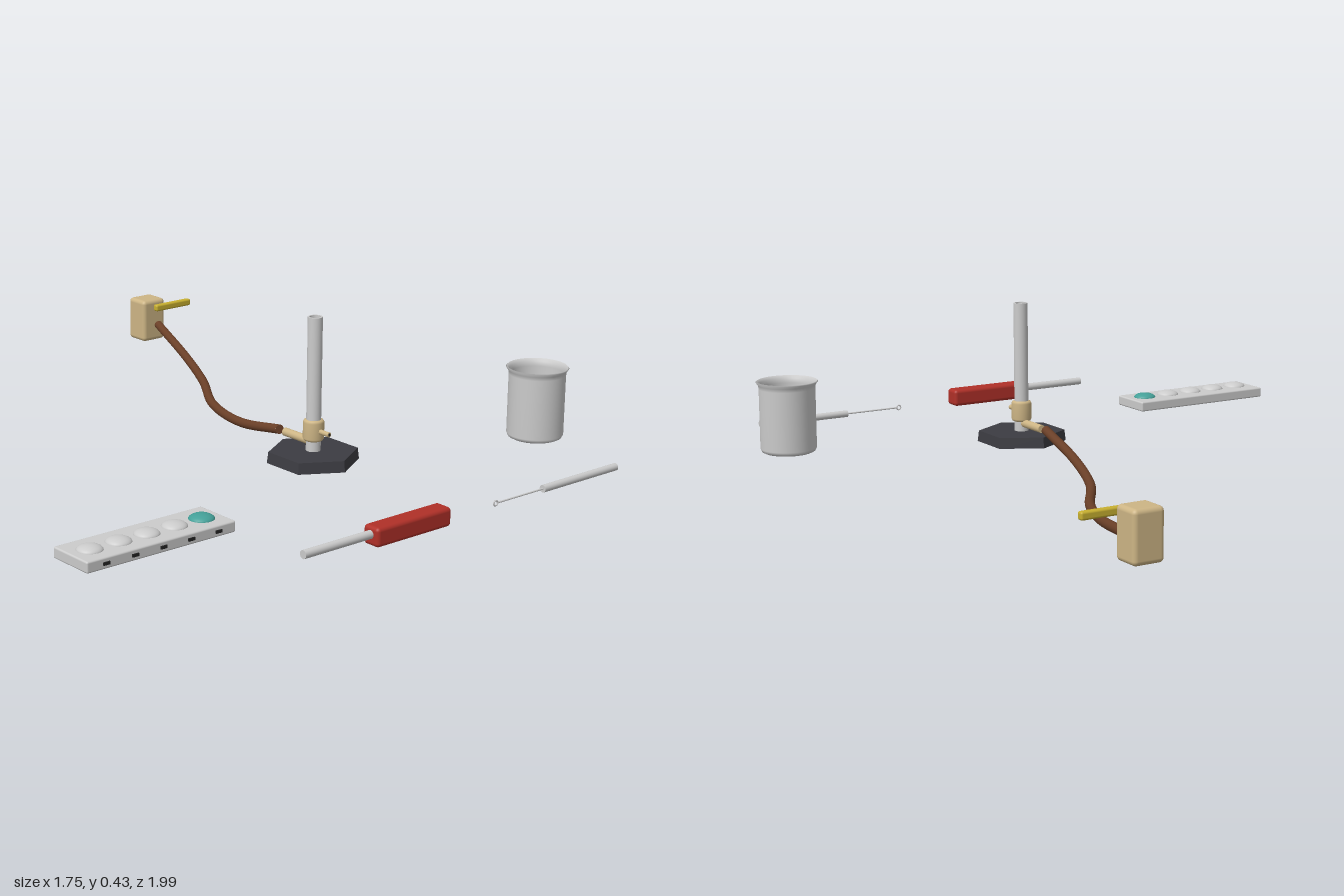
import * as THREE from 'three';
import { RoundedBoxGeometry } from 'three/addons/geometries/RoundedBoxGeometry.js';

const V2 = (x, y) => new THREE.Vector2(x, y);
const mat = (color, extra = {}) => new THREE.MeshStandardMaterial({ color, ...extra });

export function createModel() {
  const model = new THREE.Group();
  const grey = mat(0xcccccc), brass = mat(0xcdb585), dark = mat(0x3c3c42, { flatShading: true });
  const red = mat(0xb03028), yellow = mat(0xc8b030), rubber = mat(0x6b4028);
  const black = mat(0x222222), teal = mat(0x44a098), white = mat(0xe8e8e8);

  const add = (parent, name, geometry, material, x, y, z) => {
    const mesh = new THREE.Mesh(geometry, material);
    mesh.name = name;
    mesh.position.set(x, y, z);
    parent.add(mesh);
    return mesh;
  };
  const group = (name, x, y, z) => {
    const g = new THREE.Group();
    g.name = name;
    g.position.set(x, y, z);
    model.add(g);
    return g;
  };
  const rod = (r, length, axis, segments = 24) => {
    const g = new THREE.CylinderGeometry(r, r, length, segments);
    if (axis === 'x') g.rotateZ(Math.PI / 2);
    if (axis === 'z') g.rotateX(Math.PI / 2);
    return g;
  };

  // Gas burner: hexagonal foot, hollow barrel, collar, gas inlet and needle valve
  const burner = group('burner', 0.13, 0, 0.373);
  add(burner, 'burnerFoot', new THREE.CylinderGeometry(0.128, 0.132, 0.032, 6), dark, 0, 0.031, 0);
  const barrel = [[0.021, 0.045], [0.021, 0.433], [0.021, 0.433], [0.016, 0.433], [0.016, 0.433], [0.016, 0.1], [0, 0.1]];
  add(burner, 'burnerBarrel', new THREE.LatheGeometry(barrel.map(p => V2(...p)), 32), grey, 0, 0, 0);
  const collar = [[0.02, 0.075], [0.027, 0.078], [0.03, 0.084], [0.03, 0.13], [0.027, 0.136], [0.02, 0.138]];
  add(burner, 'airCollar', new THREE.LatheGeometry(collar.map(p => V2(...p)), 32), brass, 0, 0, 0);
  add(burner, 'gasInlet', rod(0.012, 0.115, 'z'), brass, 0, 0.071, -0.062);
  add(burner, 'needleValve', rod(0.007, 0.045, 'z', 16), brass, 0, 0.107, 0.043);
  add(burner, 'airHole', rod(0.004, 0.002, 'z', 12), black, 0, 0.107, 0.066);

  // Rubber hose sagging between the burner and the gas tap
  const path = new THREE.CatmullRomCurve3([
    [0.13, 0.072, 0.23], [0.165, 0.034, 0.02], [0.255, 0.015, -0.22],
    [0.385, 0.018, -0.43], [0.48, 0.036, -0.635], [0.575, 0.072, -0.9],
  ].map(p => new THREE.Vector3(...p)));
  add(model, 'hose', new THREE.TubeGeometry(path, 80, 0.0135, 16), rubber, 0, 0, 0);
  for (const t of [0, 1]) {
    const cap = add(model, 'hoseEnd', new THREE.CircleGeometry(0.0135, 16), rubber, 0, 0, 0);
    cap.position.copy(path.getPointAt(t));
    cap.lookAt(cap.position.clone().addScaledVector(path.getTangentAt(t), t ? 1 : -1));
  }

  // Gas tap block with a side lever
  const tap = group('gasTap', 0.571, 0.085, -0.958);
  add(tap, 'tapBlock', new RoundedBoxGeometry(0.09, 0.14, 0.084, 3, 0.013), brass, 0, 0, 0);
  add(tap, 'tapLever', new RoundedBoxGeometry(0.145, 0.022, 0.02, 3, 0.006), yellow, 0.061, 0.047, 0.06);

  // Beaker with a flared lip and a closed, rounded bottom
  const beaker = [
    [0, 0.015], [0.07, 0.015], [0.078, 0.019], [0.082, 0.028], [0.082, 0.205], [0.084, 0.216],
    [0.09, 0.224], [0.087, 0.227], [0.081, 0.218], [0.078, 0.205], [0.078, 0.035], [0.07, 0.023], [0, 0.022],
  ];
  add(model, 'beaker', new THREE.LatheGeometry(beaker.map(p => V2(...p)), 48),
    mat(0xcccccc, { side: THREE.DoubleSide }), 0.781, 0, 0.61);

  // Sample tray with five domes, each with a slot on the front edge
  const tray = group('sampleTray', -0.642, 0, 0.606);
  add(tray, 'trayBody', new RoundedBoxGeometry(0.47, 0.031, 0.142, 2, 0.005), grey, 0, 0.031, 0);
  for (let i = 0; i < 5; i++) {
    const x = (i - 2) * 0.0885;
    const dome = new THREE.SphereGeometry(0.035, 28, 10, 0, Math.PI * 2, 0, Math.PI / 2).scale(1, 0.43, 1);
    add(tray, 'sampleDome', dome, i === 4 ? teal : grey, x, 0.045, 0.003);
    add(tray, 'traySlot', new THREE.BoxGeometry(0.02, 0.008, 0.008), black, x, 0.031, 0.071);
  }

  // Striking tool: red grip with a metal shaft
  const tool = group('handTool', 0, 0.041, 0.964);
  add(tool, 'toolGrip', new RoundedBoxGeometry(0.262, 0.053, 0.055, 3, 0.011), red, -0.078, 0, 0);
  add(tool, 'toolShaft', rod(0.0115, 0.235, 'x'), grey, -0.317, 0.005, 0);

  // Inoculating loop: holder, wire and ring
  const loop = group('wireLoop', 0, 0.028, 0.965);
  add(loop, 'loopHolder', rod(0.0105, 0.295, 'x'), white, 0.572, 0, 0);
  add(loop, 'loopWire', rod(0.0025, 0.178, 'x', 10), grey, 0.338, 0, 0);
  add(loop, 'loopRing', new THREE.TorusGeometry(0.007, 0.0022, 8, 20), grey, 0.243, 0, 0);

  return model;
}
